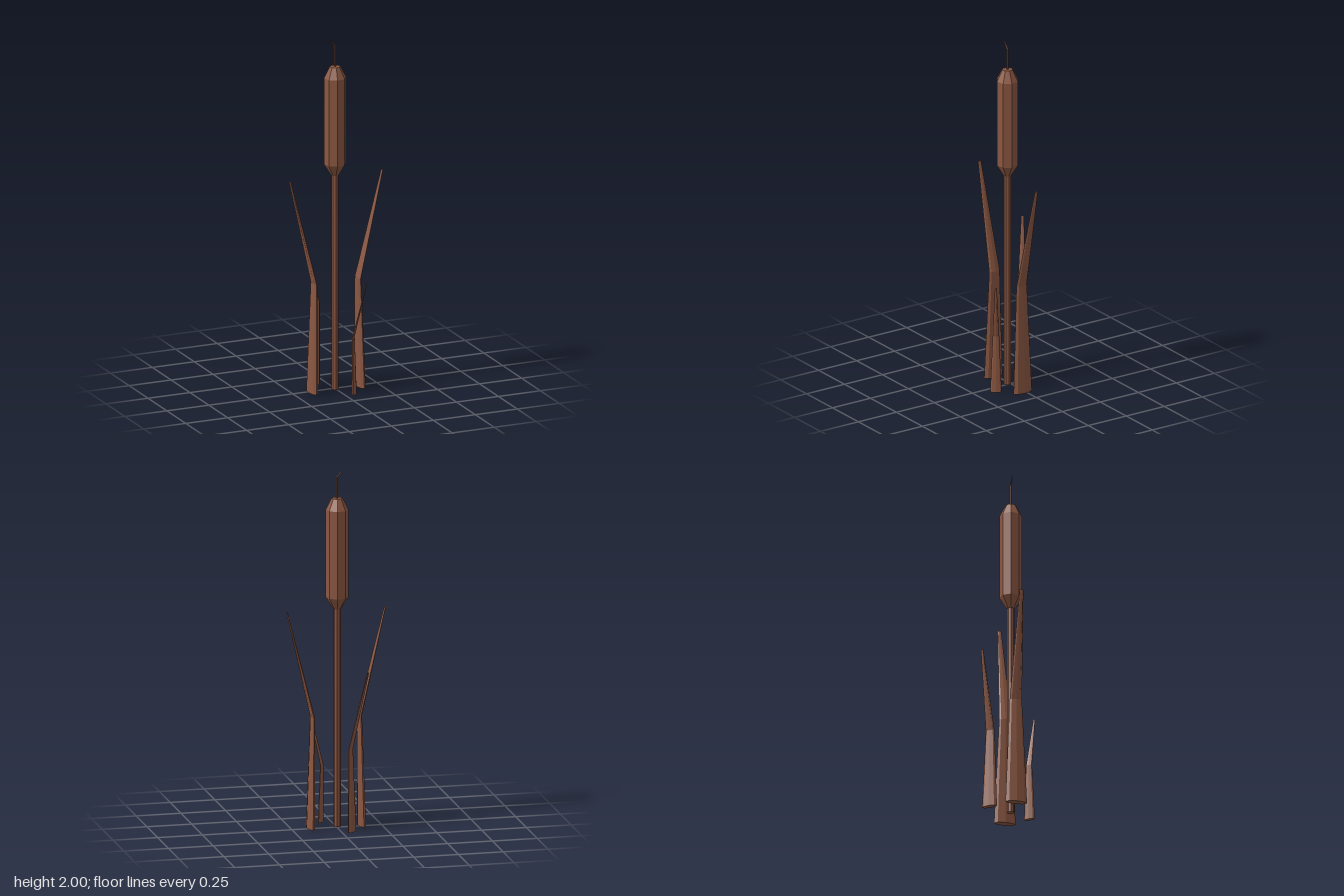
import * as THREE from 'three';

const SIDES = 8;

// Skin a faceted stalk through elliptical sections [x, y, radiusX, radiusZ], capped at both ends.
function loft(sections, turn = 0) {
  const pos = [], idx = [];
  for (const [x, y, rx, rz] of sections) {
    for (let j = 0; j < SIDES; j++) {
      const a = turn + (j / SIDES) * Math.PI * 2;
      pos.push(x + rx * Math.cos(a), y, rz * Math.sin(a));
    }
  }
  for (let i = 0; i < sections.length - 1; i++) {
    for (let j = 0; j < SIDES; j++) {
      const k = (j + 1) % SIDES;
      const a = i * SIDES + j, b = i * SIDES + k;
      idx.push(a, a + SIDES, b, b, a + SIDES, b + SIDES);
    }
  }
  const top = (sections.length - 1) * SIDES;
  for (let j = 1; j < SIDES - 1; j++) {
    idx.push(0, j, j + 1, top, top + j + 1, top + j);
  }
  const indexed = new THREE.BufferGeometry();
  indexed.setAttribute('position', new THREE.Float32BufferAttribute(pos, 3));
  indexed.setIndex(idx);
  const geometry = indexed.toNonIndexed();
  geometry.computeVertexNormals();
  return geometry;
}

export function createModel() {
  const group = new THREE.Group();
  group.name = 'cattail';
  const brown = new THREE.MeshStandardMaterial({ color: 0x8b5742, flatShading: true });
  brown.name = 'reedBrown';

  const add = (name, geometry, x, z) => {
    const mesh = new THREE.Mesh(geometry, brown);
    mesh.name = name;
    mesh.position.set(x, 0, z);
    group.add(mesh);
    return mesh;
  };

  // Central stalk, seed head and bent tip
  const cx = -0.006, cz = 0.016, turn = 0.19;
  add('stem', loft([[0, 0, 0.02, 0.02], [0, 1.24, 0.02, 0.02]], turn), cx, cz);
  add('seedHead', loft([
    [0, 1.22, 0.022, 0.022], [0, 1.285, 0.062, 0.062],
    [0, 1.775, 0.062, 0.062], [0, 1.838, 0.03, 0.03],
  ], turn), cx, cz);
  add('tip', loft([
    [0, 1.83, 0.006, 0.006], [0, 1.958, 0.006, 0.006], [-0.037, 2, 0.0015, 0.002],
  ], turn), cx, cz);

  // Flattened leaf: tapers upward, then kinks outward along +x
  const leaf = loft([
    [0, 0, 0.022, 0.06], [-0.011, 0.62, 0.012, 0.034], [0.132, 1.215, 0.004, 0.01],
  ]);
  const leaves = [
    ['leftLeaf', 0.142, 0.016, 0, 1],
    ['rightLeaf', -0.142, 0.016, Math.PI, 1],
    ['backLeaf', -0.058, -0.114, Math.PI - 0.645, 0.74],
    ['frontLeaf', 0.057, 0.134, -0.61, 0.52],
  ];
  for (const [name, x, z, rotation, scale] of leaves) {
    const mesh = add(name, leaf, x, z);
    mesh.rotation.y = rotation;
    mesh.scale.setScalar(scale);
  }
  return group;
}
